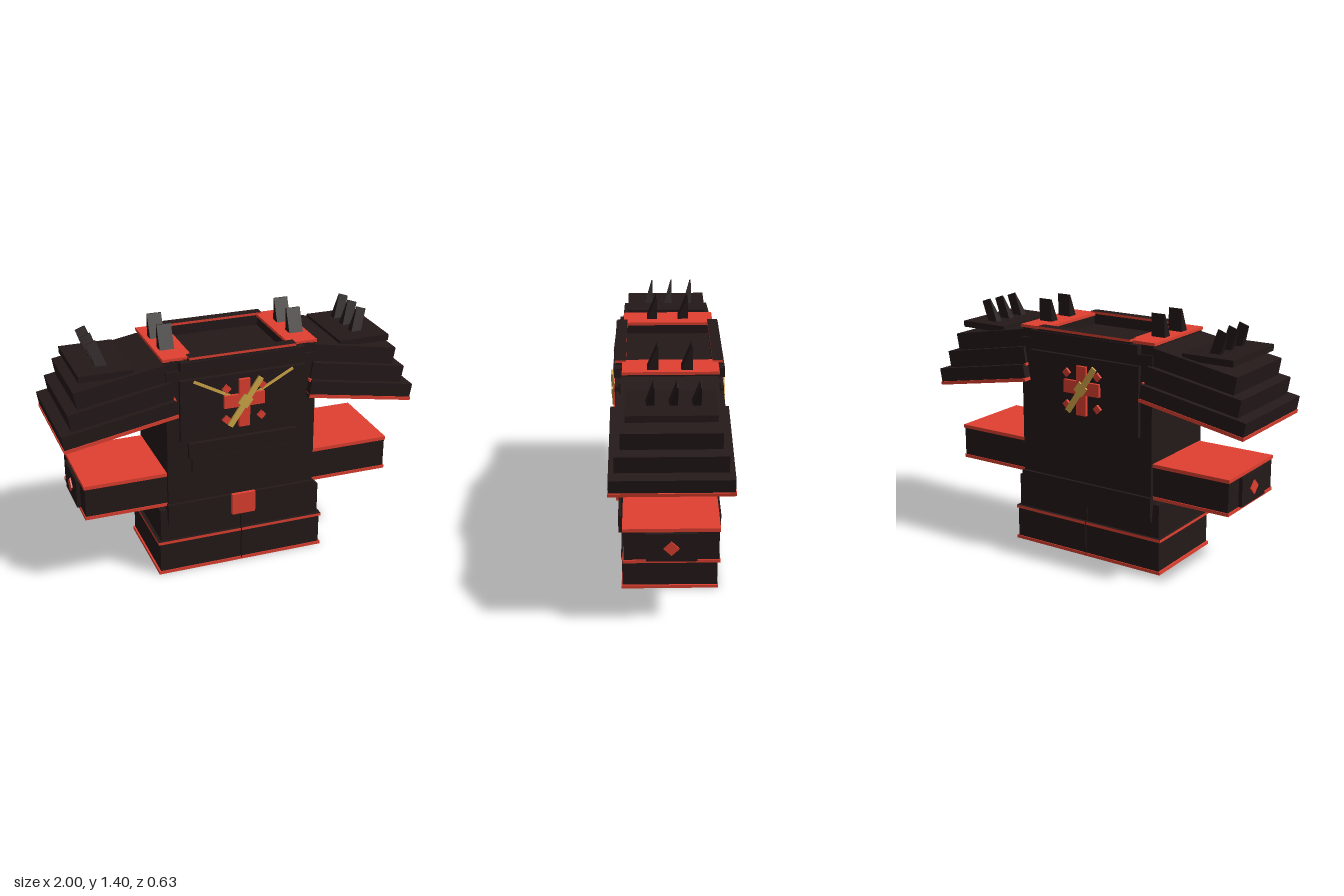
import * as THREE from 'three';

const mat = (name, color) => {
  const m = new THREE.MeshStandardMaterial({ color });
  m.name = name;
  return m;
};

export function createModel() {
  const root = new THREE.Group();
  root.name = 'armour';
  const dark = mat('dark plate', 0x241919);
  const red = mat('red trim', 0xe04030);
  const gold = mat('gold', 0xd4aa48);
  // box face order: +x -x +y -y +z -z
  const redDarkBottom = [red, red, red, dark, red, red];
  const redDarkTop = [red, red, dark, red, red, red];

  // box given by its minimum and maximum on each axis
  function box(parent, name, material, [x0, x1], [y0, y1], [z0, z1]) {
    const mesh = new THREE.Mesh(new THREE.BoxGeometry(x1 - x0, y1 - y0, z1 - z0), material);
    mesh.position.set((x0 + x1) / 2, (y0 + y1) / 2, (z0 + z1) / 2);
    mesh.name = name;
    parent.add(mesh);
    return mesh;
  }
  // same box on the left or right side
  const sideBox = (name, material, s, [a, b], y, z, parent = root) =>
    box(parent, name, material, s > 0 ? [a, b] : [-b, -a], y, z);

  // flat bar in the xy plane between two points
  function bar(parent, name, material, [x0, y0], [x1, y1], width, depth, z) {
    const mesh = new THREE.Mesh(
      new THREE.BoxGeometry(Math.hypot(x1 - x0, y1 - y0), width, depth), material);
    mesh.position.set((x0 + x1) / 2, (y0 + y1) / 2, z);
    mesh.rotation.z = Math.atan2(y1 - y0, x1 - x0);
    mesh.name = name;
    parent.add(mesh);
  }

  // wedge spike: upright at the back, sloping at the front, origin at base
  function spike(name, width, depth, height, x, y, z, tilt) {
    const shape = new THREE.Shape([
      new THREE.Vector2(0, 0), new THREE.Vector2(depth, 0),
      new THREE.Vector2(0.006, height), new THREE.Vector2(0, height),
    ]);
    const geo = new THREE.ExtrudeGeometry(shape, { depth: width, bevelEnabled: false });
    geo.translate(0, 0, -width / 2);
    geo.rotateY(-Math.PI / 2);
    const mesh = new THREE.Mesh(geo, dark);
    mesh.position.set(x, y, z);
    mesh.rotation.z = tilt;
    mesh.name = name;
    root.add(mesh);
  }

  // torso and belt
  box(root, 'torso', dark, [-0.425, 0.425], [0.29, 1.21], [-0.262, 0.262]);
  box(root, 'belt', dark, [-0.43, 0.43], [0.327, 0.435], [-0.28, 0.28]);
  box(root, 'buckle', red, [-0.068, 0.068], [0.32, 0.445], [0.28, 0.3]);

  // chest, belly and back plates
  box(root, 'chestPlate', dark, [-0.355, 0.355], [0.81, 1.16], [0.26, 0.285]);
  box(root, 'backPlate', dark, [-0.355, 0.355], [0.76, 1.15], [-0.285, -0.26]);
  box(root, 'upperBellyPlate', dark, [-0.31, 0.31], [0.7, 0.79], [0.26, 0.286]);
  box(root, 'lowerBellyPlate', dark, [-0.29, 0.29], [0.605, 0.695], [0.26, 0.28]);

  // collar bars around the sunken neck
  for (const f of [1, -1]) {
    const zr = (a, b) => (f > 0 ? [a, b] : [-b, -a]);
    box(root, 'collarBase', dark, [-0.35, 0.35], [1.21, 1.262], zr(0.235, 0.287));
    box(root, 'collarBar', dark, [-0.3, 0.3], [1.215, 1.272], zr(0.23, 0.278));
    box(root, 'collarTrim', redDarkTop, [-0.3, 0.3], [1.272, 1.286], zr(0.225, 0.282));
  }

  for (const s of [1, -1]) {
    // neck sides
    sideBox('neckSide', dark, s, [0.275, 0.425], [1.21, 1.265], [-0.25, 0.245]);
    sideBox('neckTrim', red, s, [0.27, 0.435], [1.262, 1.278], [-0.255, 0.245]);
    for (const z of [-0.118, 0.057])
      spike('neckSpike', 0.08, 0.06, 0.128, s * 0.368, 1.275, z, 0);

    // skirt halves with a narrow slit between them
    const inner = (faces) => faces.map((m, i) => (i === (s > 0 ? 1 : 0) ? dark : m));
    sideBox('upperSkirt', dark, s, [0.003, 0.468], [0.2, 0.393], [-0.25, 0.25]);
    sideBox('lowerSkirt', dark, s, [0.003, 0.477], [0.012, 0.19], [-0.262, 0.262]);
    sideBox('skirtTopTrim', inner([red, red, dark, dark, red, red]), s,
      [0.003, 0.487], [0.188, 0.205], [-0.267, 0.267]);
    sideBox('skirtBottomTrim', inner(redDarkBottom), s,
      [0.003, 0.487], [0, 0.018], [-0.267, 0.267]);

    // arm guard
    sideBox('armGuard', dark, s, [0.42, 0.88], [0.43, 0.604], [-0.243, 0.243]);
    sideBox('armTopTrim', red, s, [0.42, 0.885], [0.6, 0.62], [-0.248, 0.248]);
    sideBox('armBottomTrim', redDarkBottom, s, [0.42, 0.885], [0.419, 0.437], [-0.248, 0.248]);
    sideBox('armEndPlate', dark, s, [0.875, 0.9], [0.437, 0.598], [-0.13, 0.13]);
    const gem = sideBox('armDiamond', red, s, [0.899, 0.908], [0.486, 0.544], [-0.029, 0.029]);
    gem.rotation.x = Math.PI / 4;

    // stepped shoulder guard, tilted down outwards
    const shoulder = new THREE.Group();
    shoulder.name = s > 0 ? 'leftShoulder' : 'rightShoulder';
    shoulder.position.set(s * 0.37, 0.97, 0);
    shoulder.rotation.z = -s * THREE.MathUtils.degToRad(10);
    root.add(shoulder);
    [[0.622, 0.309], [0.56, 0.28], [0.5, 0.25]].forEach(([len, z], i) => {
      sideBox('shoulderLayer', dark, s, [0, len], [i * 0.095, (i + 1) * 0.095], [-z, z], shoulder);
    });
    sideBox('shoulderTrim', redDarkBottom, s, [0, 0.627], [0, 0.019], [-0.313, 0.313], shoulder);
    for (const z of [-0.28, 0.28])
      sideBox('shoulderStud', red, s, [-0.008, 0.004], [0.085, 0.1], [z - 0.012, z + 0.012], shoulder);
    sideBox('shoulderTopPlate', dark, s, [0.58, 0.875], [1.205, 1.24], [-0.225, 0.225]);
    for (const z of [-0.148, -0.034, 0.08])
      spike('shoulderSpike', 0.058, 0.056, 0.17, s * 0.713, 1.2, z, -s * 0.34);
  }

  // cross emblem with corner diamonds and a gold diagonal, on front and back
  function emblem(name, y) {
    const g = new THREE.Group();
    g.name = name;
    g.position.y = y;
    box(g, 'crossUpright', red, [-0.031, 0.031], [-0.137, 0.137], [0.283, 0.303]);
    box(g, 'crossArm', red, [-0.115, 0.115], [-0.02, 0.052], [0.283, 0.302]);
    for (const x of [-0.1, 0.1]) for (const dy of [-0.088, 0.09]) {
      const d = box(g, 'cornerDiamond', red,
        [x - 0.018, x + 0.018], [dy - 0.018, dy + 0.018], [0.283, 0.299]);
      d.rotation.z = Math.PI / 4;
    }
    bar(g, 'goldDiagonal', gold, [-0.085, -0.122], [0.09, 0.137], 0.032, 0.012, 0.306);
    bar(g, 'goldHub', gold, [-0.016, -0.012], [0.02, 0.036], 0.062, 0.014, 0.306);
    root.add(g);
    return g;
  }
  const front = emblem('frontEmblem', 0.995);
  for (const s of [1, -1])
    bar(front, 'goldCord', gold, [s * 0.28, 0.155], [s * 0.03, 0.02], 0.016, 0.008, 0.285);
  emblem('backEmblem', 0.968).rotation.y = Math.PI;

  return root;
}
